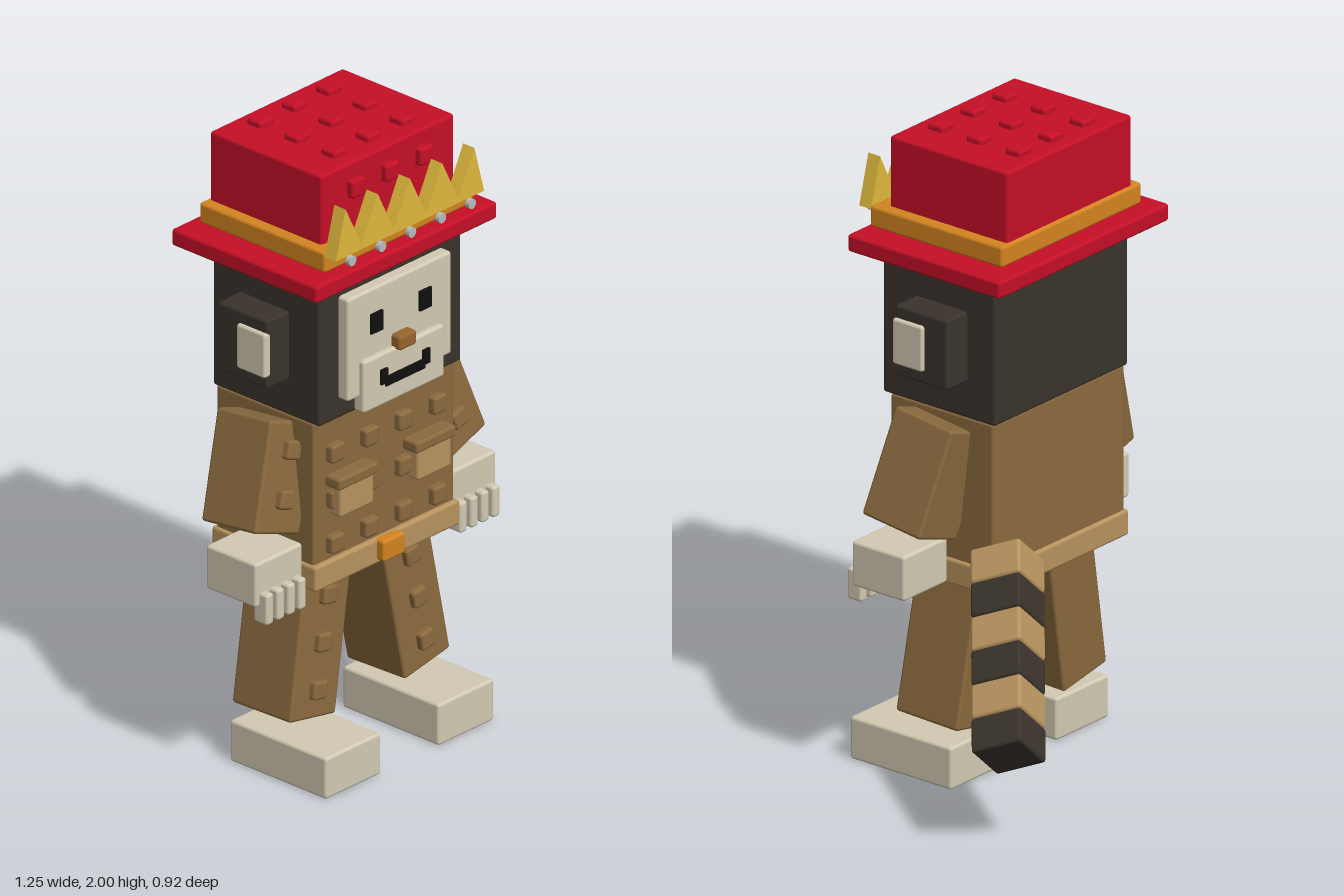
import * as THREE from 'three';
import { RoundedBoxGeometry } from 'three/addons/geometries/RoundedBoxGeometry.js';

const mat = (name, color) => {
  const m = new THREE.MeshStandardMaterial({ color });
  m.name = name;
  return m;
};

export function createModel() {
  const model = new THREE.Group();
  model.name = 'blockMonkey';
  const brown = mat('brown fur', 0x8b6a3e), tan = mat('tan', 0xb8935f);
  const dark = mat('dark fur', 0x3a332c), cream = mat('cream', 0xd2cab2);
  const red = mat('hat red', 0xc50f26), orange = mat('orange', 0xd48420);
  const gold = mat('gold', 0xdfb83c), black = mat('black', 0x101010);
  const grey = mat('bead grey', 0xb9bcbe), noseBrown = mat('nose brown', 0x96652f);

  const CX = -0.1125; // the body's centre line
  const body = new THREE.Group();
  body.name = 'body';
  body.position.x = CX;
  model.add(body);

  // Box with softened edges, given by size and centre
  const box = (name, m, size, pos, parent = body) => {
    const r = Math.min(0.01, Math.min(...size) * 0.3);
    const mesh = new THREE.Mesh(new RoundedBoxGeometry(...size, 2, r), m);
    mesh.name = name;
    mesh.position.set(...pos);
    parent.add(mesh);
    return mesh;
  };
  // Box given by its lower and upper corners
  const span = (name, m, a, b, parent = body) => box(name, m,
    a.map((v, i) => b[i] - v), a.map((v, i) => (v + b[i]) / 2), parent);
  const STUD = 0.058, PITCH = 0.147;

  // Torso, belt and buckle
  span('torso', brown, [-0.303, 0.63, -0.045], [0.303, 1.172, 0.346]);
  span('belt', tan, [-0.312, 0.628, -0.055], [0.312, 0.71, 0.362]);
  span('buckle', orange, [-0.047, 0.64, 0.35], [0.047, 0.71, 0.39]);
  for (let row = 0; row < 3; row++)
    for (let col = 0; col < 4; col++)
      box('torsoStud', brown, [STUD, STUD, 0.05],
        [(col - 1.5) * PITCH, 0.76 + row * 0.148, 0.347]);

  // Head, face and ears
  span('head', dark, [-0.307, 1.17, -0.055], [0.307, 1.612, 0.372]);
  span('facePlate', cream, [-0.224, 1.235, 0.36], [0.224, 1.57, 0.41]);
  span('muzzle', cream, [-0.175, 1.185, 0.385], [0.175, 1.355, 0.428]);
  span('nose', noseBrown, [-0.037, 1.345, 0.4], [0.037, 1.392, 0.445]);
  span('mouth', black, [-0.085, 1.245, 0.427], [0.085, 1.277, 0.435]);

  for (const s of [-1, 1]) {
    box('eye', black, [0.052, 0.066, 0.009], [s * 0.105, 1.458, 0.414]);
    box('mouthCorner', black, [0.03, 0.05, 0.009], [s * 0.091, 1.281, 0.431]);
    box('ear', dark, [0.11, 0.224, 0.2], [s * 0.345, 1.398, 0.15]);
    box('innerEar', cream, [0.03, 0.145, 0.115], [s * 0.397, 1.398, 0.193]);

    // Chest pockets
    box('pocket', tan, [0.145, 0.1, 0.05], [s * 0.167, 0.907, 0.37]);
    box('pocketFlap', brown, [0.172, 0.038, 0.062], [s * 0.167, 0.97, 0.372]);

    // Arm swung outwards and a little forwards
    const arm = new THREE.Group();
    arm.name = s > 0 ? 'leftArm' : 'rightArm';
    arm.position.set(s * 0.352, 0.98, 0.17);
    arm.rotation.set(-0.12, 0, s * 0.33);
    body.add(arm);
    box('sleeve', brown, [0.195, 0.34, 0.22], [0, 0, 0], arm);
    for (const y of [-0.064, 0.085])
      box('armStud', brown, [STUD, STUD, 0.05], [0, y, 0.11], arm);

    // Hand with four fingers
    box('hand', cream, [0.203, 0.143, 0.2], [s * 0.418, 0.708, 0.215]);
    for (let i = 0; i < 4; i++)
      box('finger', cream, [0.032, 0.1, 0.055],
        [s * 0.418 + (i - 1.5) * 0.047, 0.633, 0.318]);

    // Splayed leg with studs, and its foot
    const leg = new THREE.Group();
    leg.name = s > 0 ? 'leftLeg' : 'rightLeg';
    leg.position.set(s * 0.205, 0.405, 0.168);
    leg.rotation.set(-0.03, 0, s * 0.18);
    body.add(leg);
    box('trouser', brown, [0.2, 0.48, 0.235], [0, 0, 0], leg);
    for (const y of [-0.148, 0, 0.148])
      box('legStud', brown, [STUD, STUD, 0.05], [0, y, 0.115], leg);
    box('foot', cream, [0.24, 0.135, 0.385], [s * 0.243, 0.0675, 0.258]);
  }

  // Hat
  span('hatBrim', red, [-0.391, 1.625, -0.142], [0.391, 1.68, 0.438]);
  span('hatCore', red, [-0.28, 1.6, -0.05], [0.28, 1.77, 0.35]);
  span('hatBand', orange, [-0.322, 1.69, -0.095], [0.322, 1.757, 0.408]);
  span('hatTop', red, [-0.287, 1.74, -0.085], [0.287, 1.98, 0.362]);
  for (let i = -1; i <= 1; i++) {
    for (let k = -1; k <= 1; k++)
      box('hatTopStud', red, [STUD, 0.05, STUD], [i * PITCH, 1.975, 0.135 + k * PITCH]);
    for (const y of [1.752, 1.9])
      box('hatFrontStud', red, [STUD, STUD, 0.05], [i * PITCH, y, 0.36]);
  }

  // Row of gold spikes across the hat front
  const spikes = new THREE.Shape();
  spikes.moveTo(-0.32, 1.745);
  for (let i = -2; i <= 2; i++) {
    spikes.lineTo(i * 0.139, 1.9);
    if (i < 2) spikes.lineTo((i + 0.5) * 0.139, 1.76);
  }
  spikes.lineTo(0.32, 1.745);
  const crown = new THREE.Mesh(
    new THREE.ExtrudeGeometry(spikes, { depth: 0.045, bevelEnabled: false }), gold);
  crown.name = 'crownSpikes';
  crown.position.z = 0.405;
  body.add(crown);
  for (let i = -2; i <= 2; i++) {
    const bead = new THREE.Mesh(new THREE.CylinderGeometry(0.016, 0.016, 0.015, 12), grey);
    bead.name = 'crownBead';
    bead.rotation.x = Math.PI / 2;
    bead.position.set(i * 0.129, 1.727, 0.453);
    body.add(bead);
  }

  // Striped tail, running down, back and to the left
  const tail = new THREE.Group();
  tail.name = 'tail';
  const along = new THREE.Vector3(0.59, -0.635, -0.494).normalize();
  const across = new THREE.Vector3(0.635, 0.59, 0).normalize();
  const other = new THREE.Vector3().crossVectors(along, across);
  tail.quaternion.setFromRotationMatrix(new THREE.Matrix4().makeBasis(across, other, along));
  tail.position.set(0.533, 0.319, -0.387);
  model.add(tail);
  for (let i = 0; i < 6; i++)
    box('tailSegment', i % 2 ? tan : dark, [0.165, 0.165, 0.112],
      [0, 0, -0.056 - i * 0.112], tail);

  return model;
}
